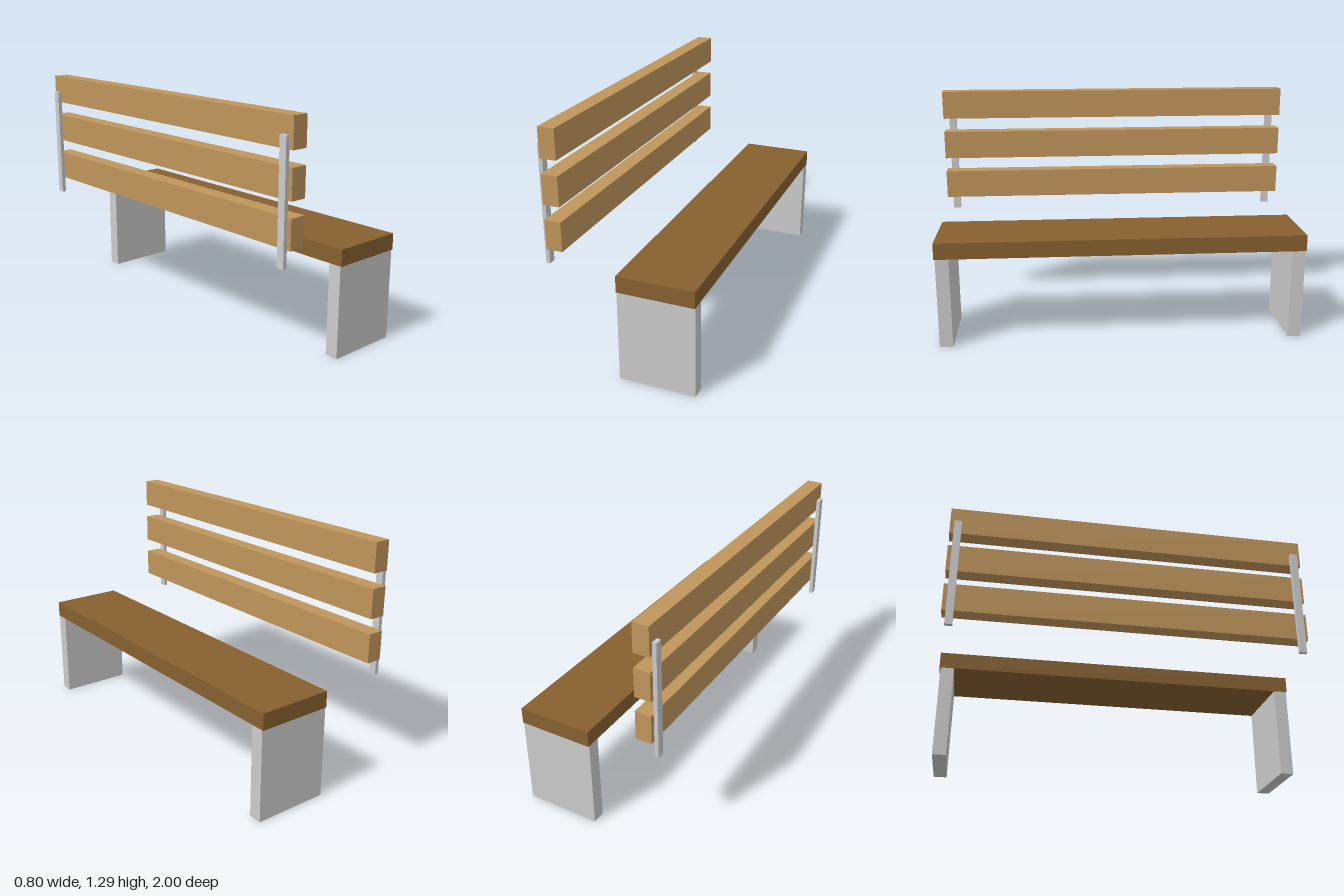
import * as THREE from 'three';

export function createModel() {
  const bench = new THREE.Group();
  bench.name = 'bench';

  const grey = new THREE.MeshStandardMaterial({ color: 0xcccccc });
  const darkWood = new THREE.MeshStandardMaterial({ color: 0x866030 });
  const lightWood = new THREE.MeshStandardMaterial({ color: 0xbf955b });

  // Box given by its extents along each axis
  function block(name, material, [x0, x1], [y0, y1], [z0, z1]) {
    const mesh = new THREE.Mesh(new THREE.BoxGeometry(x1 - x0, y1 - y0, z1 - z0), material);
    mesh.position.set((x0 + x1) / 2, (y0 + y1) / 2, (z0 + z1) / 2);
    mesh.name = name;
    bench.add(mesh);
  }

  // Seat plank
  block('seat', darkWood, [-0.01, 0.4], [0.498, 0.587], [-1, 1]);

  // Three backrest slats
  for (const y of [0.66, 0.897, 1.133]) {
    block('backSlat', lightWood, [-0.38, -0.292], [y, y + 0.157], [-1, 1]);
  }

  // Slab legs and slim back posts at both ends
  for (const [a, b, c, d] of [[0.922, 0.994, 0.936, 0.977], [-0.994, -0.922, -0.977, -0.936]]) {
    block('leg', grey, [-0.01, 0.4], [0, 0.498], [a, b]);
    block('backPost', grey, [-0.402, -0.38], [0.57, 1.2], [c, d]);
  }

  return bench;
}
